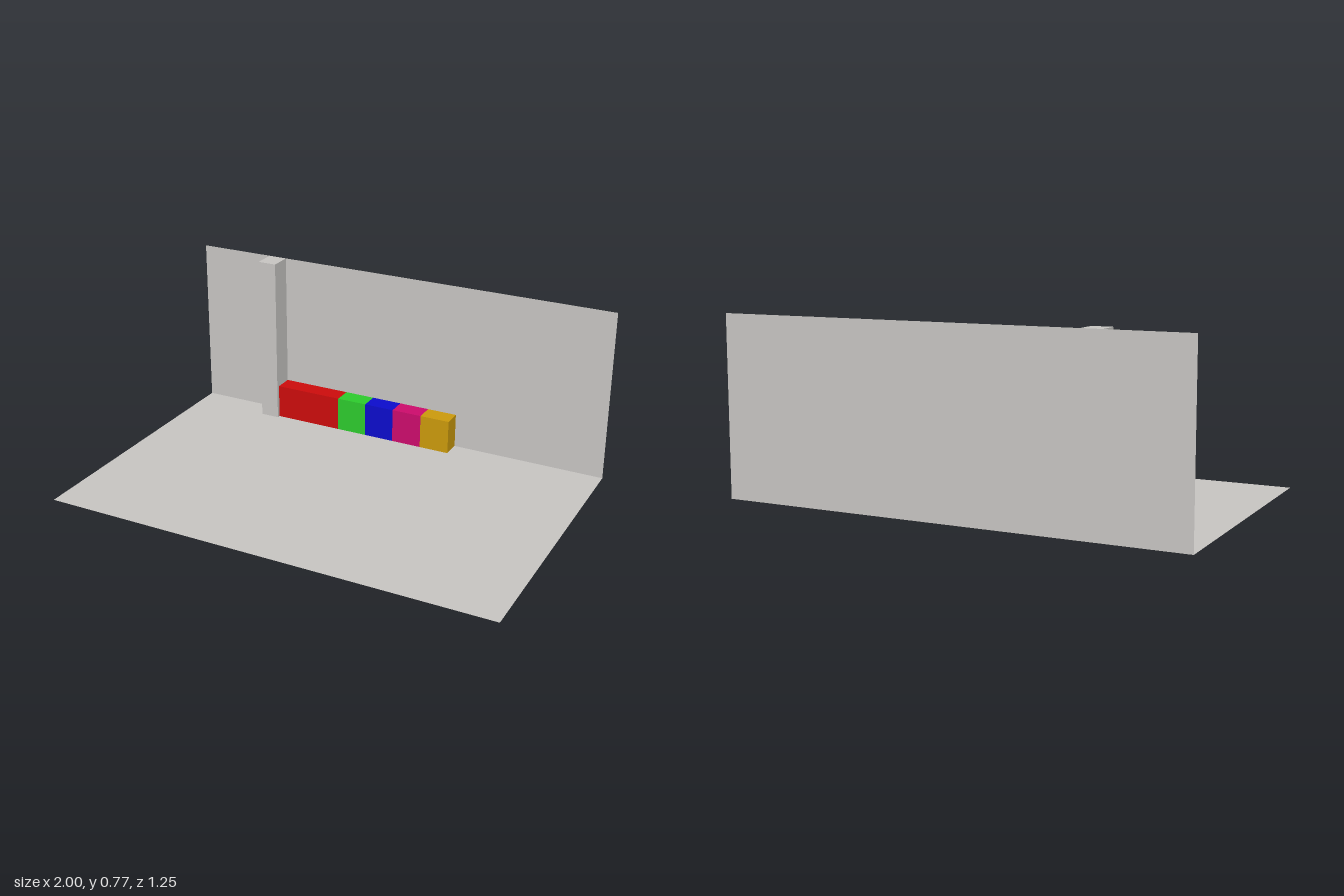
import * as THREE from 'three';

const BACK = -0.627, WALL_H = 0.767;

function material(name, color, side = THREE.FrontSide) {
  const m = new THREE.MeshStandardMaterial({ color, side });
  m.name = name;
  return m;
}

export function createModel() {
  const group = new THREE.Group();
  const grey = material('warm grey', 0xc7c5c2, THREE.DoubleSide);

  const add = (name, geometry, mat) => {
    const mesh = new THREE.Mesh(geometry, mat);
    mesh.name = name;
    group.add(mesh);
    return mesh;
  };

  // Box standing on the floor against the wall, with a hair gap to both
  const GAP = 0.001;
  const standing = (name, x0, x1, height, front, mat) => {
    const depth = front - BACK - GAP;
    add(name, new THREE.BoxGeometry(x1 - x0, height - GAP, depth), mat)
      .position.set((x0 + x1) / 2, (height + GAP) / 2, front - depth / 2);
  };

  // Thin floor and back wall
  add('floor', new THREE.PlaneGeometry(2, -2 * BACK), grey).rotation.x = -Math.PI / 2;
  add('backWall', new THREE.PlaneGeometry(2, WALL_H), grey).position.set(0, WALL_H / 2, BACK);

  // Full-height pillar
  standing('pillar', -0.651, -0.565, WALL_H, -0.525, grey);

  // Row of coloured cabinets, starting at the pillar
  const cabinets = [
    ['red', 0xcc0c0c, -0.249],
    ['green', 0x2dcb2d, -0.109],
    ['blue', 0x0c0ccc, 0.03],
    ['magenta', 0xcc0c6c, 0.169],
    ['ochre', 0xcb9a0c, 0.306],
  ];
  let x = -0.565;
  for (const [name, color, end] of cabinets) {
    standing(`${name}Cabinet`, x, end, 0.157, -0.541, material(name, color));
    x = end;
  }
  return group;
}
